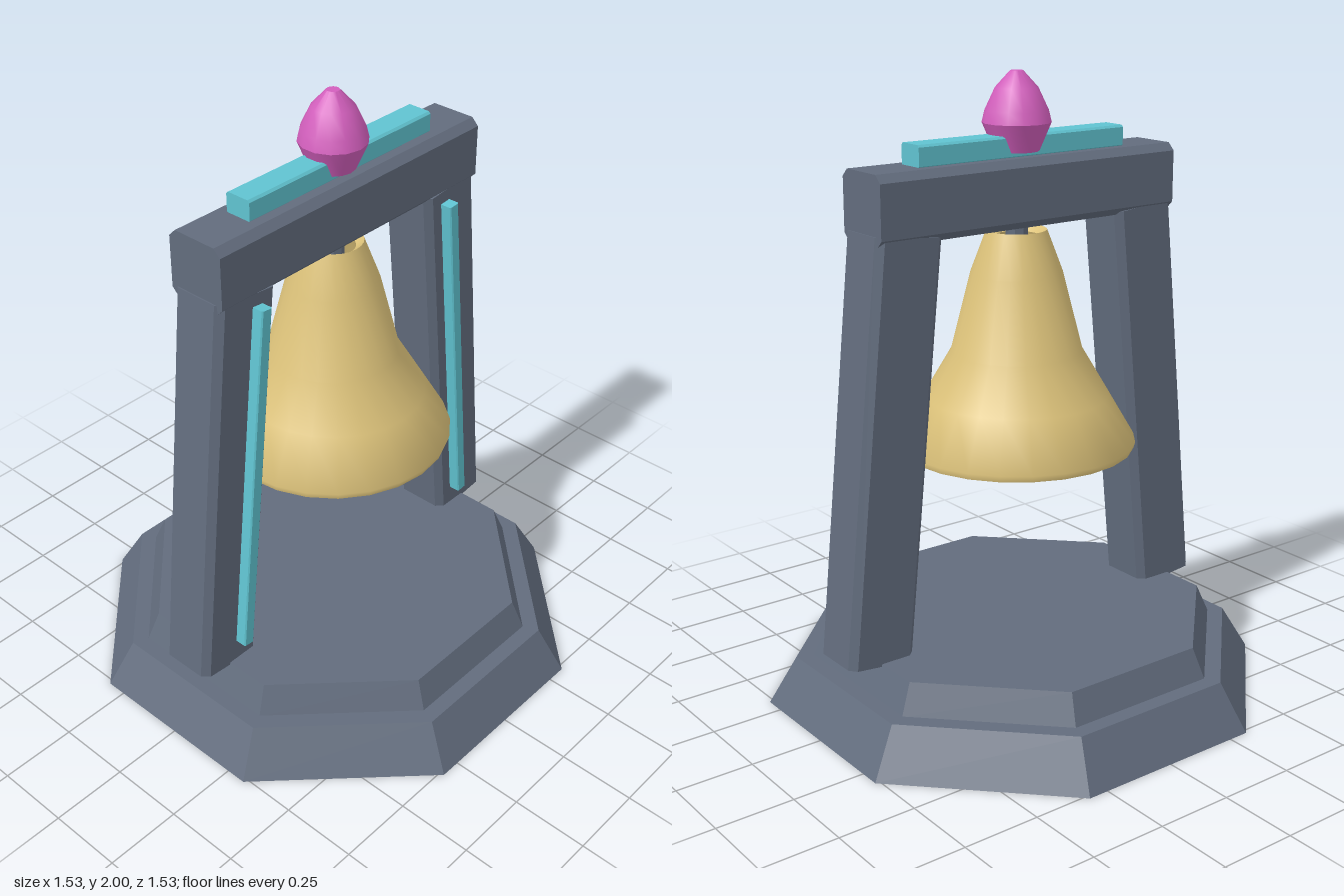
import * as THREE from 'three';
import { toCreasedNormals } from 'three/addons/utils/BufferGeometryUtils.js';

const slate = new THREE.MeshStandardMaterial({ color: 0x626c7d });
slate.name = 'slate';
const gold = new THREE.MeshStandardMaterial({ color: 0xdcc27a, side: THREE.DoubleSide });
gold.name = 'gold';
const cyan = new THREE.MeshStandardMaterial({ color: 0x60c3d0 });
cyan.name = 'cyan';
const pink = new THREE.MeshStandardMaterial({ color: 0xd35fbd });
pink.name = 'pink';

function add(parent, name, geometry, material, x = 0, y = 0, z = 0) {
  const mesh = new THREE.Mesh(geometry, material);
  mesh.name = name;
  mesh.position.set(x, y, z);
  parent.add(mesh);
  return mesh;
}

// Bar along z, centred, with its four long edges chamfered by c
function chamferBar(w, h, length, c) {
  const a = w / 2, b = h / 2;
  const corners = [[a - c, -b], [a, -b + c], [a, b - c], [a - c, b],
    [-a + c, b], [-a, b - c], [-a, -b + c], [-a + c, -b]];
  const shape = new THREE.Shape(corners.map(([x, y]) => new THREE.Vector2(x, y)));
  return new THREE.ExtrudeGeometry(shape, { depth: length, bevelEnabled: false })
    .translate(0, 0, -length / 2);
}

// Octagonal tier measured across its flats, flat side to the front
function tier(top, bottom, height) {
  const k = 1 / Math.cos(Math.PI / 8);
  return toCreasedNormals(
    new THREE.CylinderGeometry(top * k, bottom * k, height, 8).rotateY(Math.PI / 8), 0.2);
}

function lathe(points, segments, crease) {
  const profile = points.map(([r, y]) => new THREE.Vector2(r, y));
  return toCreasedNormals(new THREE.LatheGeometry(profile, segments), crease);
}

export function createModel() {
  const model = new THREE.Group();
  model.name = 'bellShrine';

  // Stepped base
  add(model, 'lowerBase', tier(0.68, 0.765, 0.15), slate, 0, 0.075, 0);
  add(model, 'upperBase', tier(0.59, 0.63, 0.097), slate, 0, 0.1965, 0);

  // Leaning posts with inlaid strips on the front
  const tilt = 0.102;
  for (const side of [-1, 1]) {
    const post = new THREE.Group();
    post.name = side < 0 ? 'rightPost' : 'leftPost';
    post.position.set(side * 0.517, 0.895, 0);
    post.rotation.z = side * tilt;
    add(post, 'postBeam', chamferBar(0.232, 0.19, 1.325, 0.022).rotateX(Math.PI / 2), slate);
    add(post, 'postStrip', chamferBar(0.04, 0.045, 1.2, 0.004).rotateX(Math.PI / 2), cyan,
      side * -0.036, 0.022, 0.111);
    model.add(post);
  }

  // Crossbeam and its top strip
  add(model, 'crossbeam', chamferBar(0.2, 0.213, 1.12, 0.024).rotateY(Math.PI / 2), slate, 0, 1.639, 0);
  add(model, 'topStrip', chamferBar(0.09, 0.07, 0.78, 0.007).rotateY(Math.PI / 2), cyan, 0, 1.776, 0);

  // Finial
  add(model, 'finial', lathe([[0, 1.758], [0.07, 1.758], [0.107, 1.845], [0.098, 1.882],
    [0.066, 1.95], [0.02, 2], [0, 2]], 14, 0.6), pink);

  // Bell: outer wall, lip, inner wall
  add(model, 'bell', lathe([[0.07, 1.495], [0.095, 1.515], [0.146, 1.38], [0.21, 1.13],
    [0.295, 0.985], [0.382, 0.835], [0.376, 0.815], [0.348, 0.817],
    [0.335, 0.85], [0.265, 0.99], [0.18, 1.14], [0.12, 1.37], [0.07, 1.495]].reverse(), 24, 0.9), gold);

  // Clapper hung from the beam
  add(model, 'clapperRod', toCreasedNormals(new THREE.CylinderGeometry(0.035, 0.035, 0.74, 8), 0.4),
    slate, 0, 1.21, 0);
  add(model, 'clapper', lathe([[0, 0.7], [0.03, 0.7], [0.106, 0.785], [0.106, 0.82],
    [0.04, 0.89], [0, 0.89]], 12, 0.6), cyan);

  return model;
}
